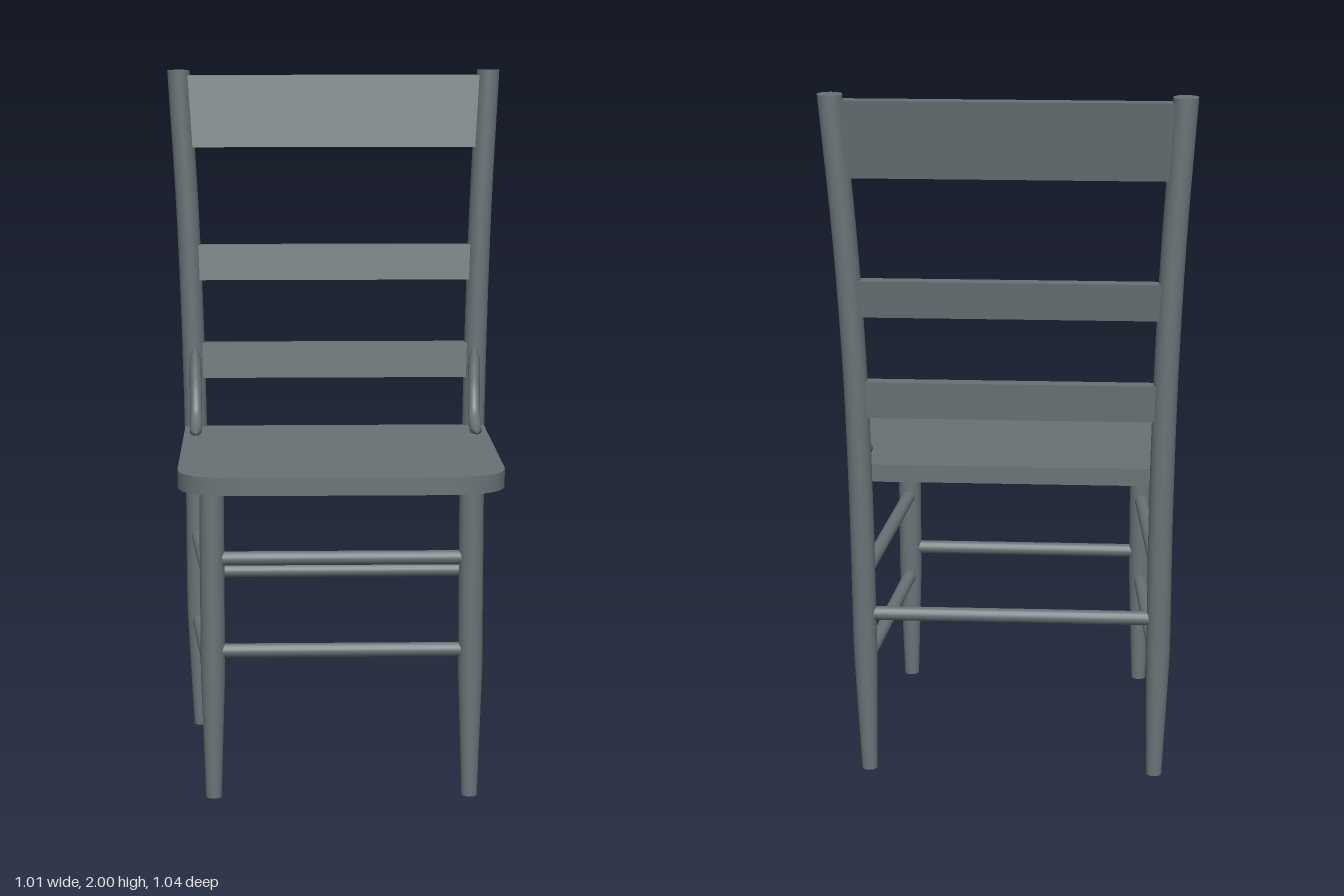
import * as THREE from 'three';

const UP = new THREE.Vector3(0, 1, 0);

// Centre line of the model's left back post, with knots evenly spaced in height
const postLine = new THREE.CatmullRomCurve3([
  [0.413, 0, -0.317], [0.42, 0.4, -0.319], [0.422, 0.8, -0.342],
  [0.43, 1.2, -0.367], [0.446, 1.6, -0.418], [0.471, 2, -0.483],
].map(p => new THREE.Vector3(...p)), false, 'catmullrom', 0.5);
const postAt = y => postLine.getPoint(THREE.MathUtils.clamp(y / 2, 0, 1));

// Legs narrow towards the floor
const legRadius = y => THREE.MathUtils.lerp(0.022, 0.034, Math.min(y / 0.36, 1));

export function createModel() {
  const chair = new THREE.Group();
  chair.name = 'chair';
  const paint = new THREE.MeshStandardMaterial({ color: 0x687376 });
  paint.name = 'grey paint';

  const add = (name, geometry) => {
    const mesh = new THREE.Mesh(geometry, paint);
    mesh.name = name;
    chair.add(mesh);
    return mesh;
  };

  // Upright turned piece whose level rings follow a centre line
  const upright = (name, height, centreAt) => {
    const geo = new THREE.CylinderGeometry(1, 1, height, 24, 32);
    geo.translate(0, height / 2, 0);
    const pos = geo.attributes.position;
    for (let i = 0; i < pos.count; i++) {
      const y = pos.getY(i), c = centreAt(y), r = legRadius(y);
      pos.setXYZ(i, c.x + pos.getX(i) * r, y, c.z + pos.getZ(i) * r);
    }
    add(name, geo);
  };

  // Round rod between two points
  const rod = (name, a, b) => {
    const dir = b.clone().sub(a);
    const mesh = add(name, new THREE.CylinderGeometry(0.02, 0.02, dir.length(), 16));
    mesh.position.copy(a).add(b).multiplyScalar(0.5);
    mesh.quaternion.setFromUnitVectors(UP, dir.normalize());
  };

  // Back slat leaning with the posts
  const slat = (name, y0, y1) => {
    const geo = new THREE.BoxGeometry(2, y1 - y0, 0.04);
    geo.translate(0, (y0 + y1) / 2, 0);
    const pos = geo.attributes.position;
    for (let i = 0; i < pos.count; i++) {
      const c = postAt(pos.getY(i));
      pos.setX(i, pos.getX(i) * (c.x - 0.01));
      pos.setZ(i, pos.getZ(i) + c.z);
    }
    geo.computeVertexNormals();
    add(name, geo);
  };

  // Seat board: square at the back, rounded at the front
  const outline = new THREE.Shape();
  outline.moveTo(-0.455, -0.34);
  outline.lineTo(0.455, -0.34);
  outline.lineTo(0.455, 0.38);
  outline.quadraticCurveTo(0.455, 0.525, 0.28, 0.525);
  outline.lineTo(-0.28, 0.525);
  outline.quadraticCurveTo(-0.455, 0.525, -0.455, 0.38);
  outline.closePath();
  const seat = new THREE.ExtrudeGeometry(outline, { depth: 0.05, bevelEnabled: false, curveSegments: 16 });
  seat.rotateX(Math.PI / 2);
  seat.translate(0, 0.93, 0);
  add('seat', seat);

  for (const [side, s] of [['left', 1], ['right', -1]]) {
    // Legs and back posts
    const front = new THREE.Vector3(0.36 * s, 0, 0.428);
    const postCentre = y => postAt(y).multiply(new THREE.Vector3(s, 1, 1));
    upright(side + 'FrontLeg', 0.89, () => front);
    upright(side + 'BackPost', 2, postCentre);

    // Side stretchers
    for (const y of [0.595, 0.332]) rod(side + 'Stretcher', front.clone().setY(y), postCentre(y));

    // Curved brace from seat to post, narrowing to closed ends
    const path = new THREE.CatmullRomCurve3([
      [-0.155, 0.934], [-0.22, 0.94], [-0.275, 0.968], [-0.312, 1.035], [-0.328, 1.1], [-0.338, 1.175],
    ].map(([z, y]) => new THREE.Vector3(s * (0.42 + (y - 0.93) * 0.02), y, z)));
    const segs = 32, sides = 12;
    const geo = new THREE.TubeGeometry(path, segs, 0.018, sides);
    const pos = geo.attributes.position, v = new THREE.Vector3();
    for (let i = 0; i < pos.count; i++) {
      const t = Math.floor(i / (sides + 1)) / segs;
      const c = path.getPointAt(t);
      const k = Math.sqrt(Math.min(1, Math.min(t, 1 - t) * 8));
      v.fromBufferAttribute(pos, i).sub(c).multiplyScalar(k).add(c);
      pos.setXYZ(i, v.x, v.y, v.z);
    }
    add(side + 'Brace', geo);
  }

  // Front and back stretchers
  for (const y of [0.685, 0.422]) {
    rod('frontStretcher', new THREE.Vector3(-0.36, y, 0.428), new THREE.Vector3(0.36, y, 0.428));
  }
  const b = postAt(0.48);
  rod('backStretcher', new THREE.Vector3(-b.x, 0.48, b.z), b);

  slat('crestSlat', 1.77, 1.985);
  slat('middleSlat', 1.372, 1.477);
  slat('lowerSlat', 1.077, 1.182);

  return chair;
}
